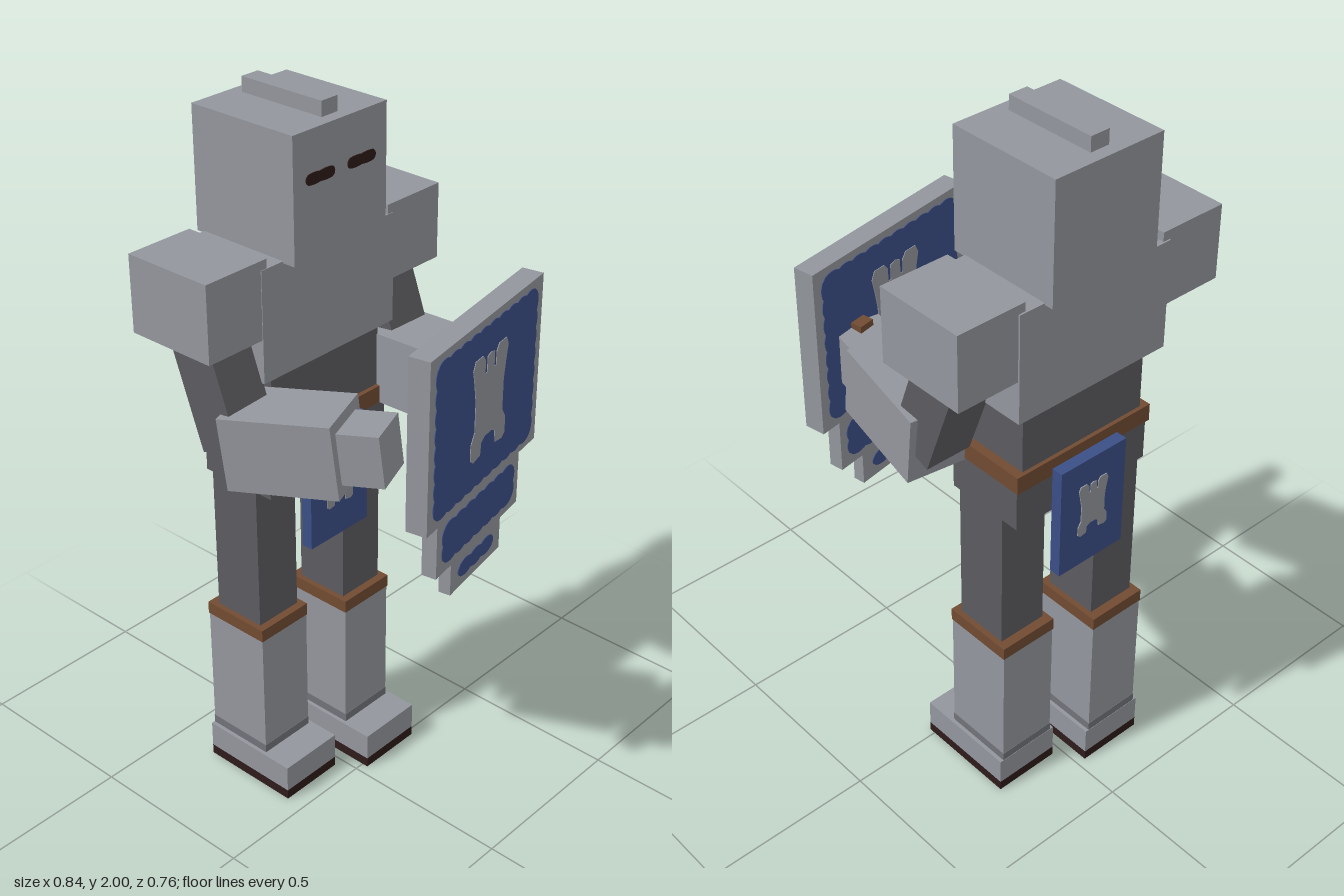
import * as THREE from 'three';

const mat = (name, color) => Object.assign(new THREE.MeshStandardMaterial({ color }), { name });

export function createModel() {
  const steel = mat('steel', 0x93969d);
  const worn = mat('worn steel', 0x717379);
  const cloth = mat('dark cloth', 0x5c5b60);
  const blue = mat('blue', 0x3b4f87);
  const leather = mat('leather', 0x724b32);
  const dark = mat('dark brown', 0x2e1b1a);

  const model = new THREE.Group();
  model.name = 'knight';

  const add = (name, geo, material, parent) => {
    const m = new THREE.Mesh(geo, material);
    m.name = name;
    parent.add(m);
    return m;
  };
  // Box given by its extents on each axis
  const box = (name, material, [x0, x1], [y0, y1], [z0, z1], parent = model) => {
    const m = add(name, new THREE.BoxGeometry(x1 - x0, y1 - y0, z1 - z0), material, parent);
    m.position.set((x0 + x1) / 2, (y0 + y1) / 2, (z0 + z1) / 2);
    return m;
  };
  const group = (name, x, y, z, parent = model) => {
    const g = new THREE.Group();
    g.name = name;
    g.position.set(x, y, z);
    parent.add(g);
    return g;
  };
  // Thin plate cut from a shape, starting at its local z = 0
  const plate = (name, shape, material, parent, depth = 0.003) =>
    add(name, new THREE.ExtrudeGeometry(shape, { depth, bevelEnabled: false, curveSegments: 6 }), material, parent);

  // Painted panel outline with shallow scallops along every edge
  const scalloped = (w, h, r = 0.006) => {
    const s = new THREE.Shape();
    const c = [[-w / 2, -h / 2], [w / 2, -h / 2], [w / 2, h / 2], [-w / 2, h / 2]];
    c.forEach(([x, y], i) => {
      const [u, v] = c[(i + 1) % 4];
      const len = Math.hypot(u - x, v - y);
      const dx = (u - x) / len, dy = (v - y) / len;
      const cut = Math.min(0.018, h / 4);
      const n = Math.max(1, Math.round((len - 2 * cut) / 0.05));
      const step = (len - 2 * cut) / n;
      const at = (t, inset) => [x + dx * t - dy * inset, y + dy * t + dx * inset];
      if (i === 0) s.moveTo(...at(cut, r)); else s.lineTo(...at(cut, r));
      for (let k = 0; k < n; k++) {
        s.quadraticCurveTo(...at(cut + (k + 0.5) * step, -r), ...at(cut + (k + 1) * step, r));
      }
    });
    s.closePath();
    return s;
  };

  // Castle tower emblem: three merlons above, arched doorway below
  const tower = (w, h) => {
    const s = new THREE.Shape();
    const half = [[0.16, 0.31], [0.16, 0.44], [0.23, 0.5], [0.44, 0.5], [0.5, 0.42], [0.45, 0.28], [0.4, 0.1],
      [0.4, -0.2], [0.5, -0.3], [0.5, -0.46], [0.42, -0.5], [0.22, -0.48], [0.2, -0.36], [0.1, -0.32]];
    const pts = [[0, 0.48], [0.1, 0.46], [0.1, 0.31], ...half];
    const all = [...pts, ...pts.slice(1).reverse().map(([x, y]) => [-x, y])];
    s.setFromPoints(all.map(([x, y]) => new THREE.Vector2(x * w, y * h)));
    return s;
  };

  // Head with crest and eye slits
  box('head', steel, [-0.165, 0.165], [1.63, 1.96], [-0.385, -0.05]);
  box('crest', steel, [-0.028, 0.028], [1.95, 2], [-0.35, -0.085]);
  for (const s of [-1, 1]) {
    const eye = plate('eye', scalloped(0.1, 0.03, 0.002), dark, model);
    eye.position.set(s * 0.073, 1.837, -0.05);
  }

  // Trunk
  box('chest', steel, [-0.24, 0.24], [1.33, 1.635], [-0.36, -0.088]);
  box('waist', cloth, [-0.2, 0.2], [1.14, 1.34], [-0.33, -0.105]);
  box('belt', leather, [-0.225, 0.225], [1.1, 1.15], [-0.341, -0.092]);
  box('hips', cloth, [-0.22, 0.22], [0.98, 1.11], [-0.333, -0.098]);

  // Front and back tabards
  for (const [name, z, turn] of [['frontTabard', -0.0765, 0], ['backTabard', -0.3575, Math.PI]]) {
    const g = group(name, 0, 0.955, z);
    g.rotation.y = turn;
    box('tabardCloth', blue, [-0.11, 0.11], [-0.165, 0.165], [-0.0165, 0.0165], g);
    plate('tabardEmblem', tower(0.1, 0.16), steel, g).position.set(0, 0.01, 0.0165);
  }

  // Legs, the left one a step ahead
  for (const s of [-1, 1]) {
    const leg = group(s > 0 ? 'leftLeg' : 'rightLeg', s * 0.127, 0, s > 0 ? 0 : -0.075);
    box('thigh', cloth, [-0.073, 0.073], [0.5, 1], [-0.258, -0.098], leg);
    box('greave', steel, [-0.087, 0.087], [0.1, 0.5], [-0.283, -0.077], leg);
    box('greaveWear', worn, [-0.088, 0.088], [0.11, 0.135], [-0.284, -0.076], leg);
    box('greaveStrap', leather, [-0.089, 0.089], [0.498, 0.535], [-0.285, -0.075], leg);
    box('foot', steel, [-0.099, 0.099], [0.03, 0.11], [-0.285, 0.018], leg);
    box('sole', dark, [-0.099, 0.099], [0, 0.03], [-0.285, 0.018], leg);
  }

  // Arms: swung upper arms, forearms turned inwards
  for (const s of [-1, 1]) {
    const arm = group(s > 0 ? 'leftArm' : 'rightArm', 0, 0, 0);
    const x = [s * 0.32 - 0.1, s * 0.32 + 0.1];
    box('pauldron', steel, x, [1.45, 1.66], [-0.355, -0.09], arm);
    const upper = add('upperArm', new THREE.BoxGeometry(0.135, 0.38, 0.135), cloth, arm);
    upper.position.set(s * 0.303, 1.36, -0.18);
    upper.rotation.x = -0.35;
    const fore = group('forearm', s > 0 ? 0.276 : -0.252, 1.21, s > 0 ? 0 : 0.015, arm);
    fore.rotation.set(-0.122, s > 0 ? -0.14 : 0.36, 0, 'YXZ');
    box('gauntlet', steel, [-0.093, 0.093], [-0.1, 0.1], [-0.15, 0.15], fore);
    box('hand', steel, [-0.066, 0.066], [-0.07, 0.07], [0.1, 0.262], fore);
  }

  // Stepped shield, painted on both faces
  const shield = group('shield', 0.11, 0, 0.298);
  shield.rotation.y = 0.178;
  const tiers = [
    // width, bottom, top, thickness, paint width, paint height
    [0.572, 1.045, 1.525, 0.06, 0.52, 0.44],
    [0.434, 0.88, 1.045, 0.042, 0.385, 0.122],
    [0.265, 0.78, 0.88, 0.034, 0.19, 0.05],
  ];
  for (const [w, y0, y1, t, pw, ph] of tiers) {
    box('shieldTier', steel, [-w / 2, w / 2], [y0, y1], [-t / 2, t / 2], shield);
    for (const turn of [0, Math.PI]) {
      const face = group('shieldFace', 0, (y0 + y1) / 2, 0, shield);
      face.rotation.y = turn;
      plate('shieldPaint', scalloped(pw, ph), blue, face, 0.002).position.z = t / 2;
      if (w > 0.5) plate('shieldEmblem', tower(0.18, 0.285), steel, face).position.set(0.01, 0.003, t / 2 + 0.001);
    }
  }
  box('shieldGrip', leather, [0.117, 0.163], [1.125, 1.325], [-0.065, -0.025], shield);

  return model;
}
